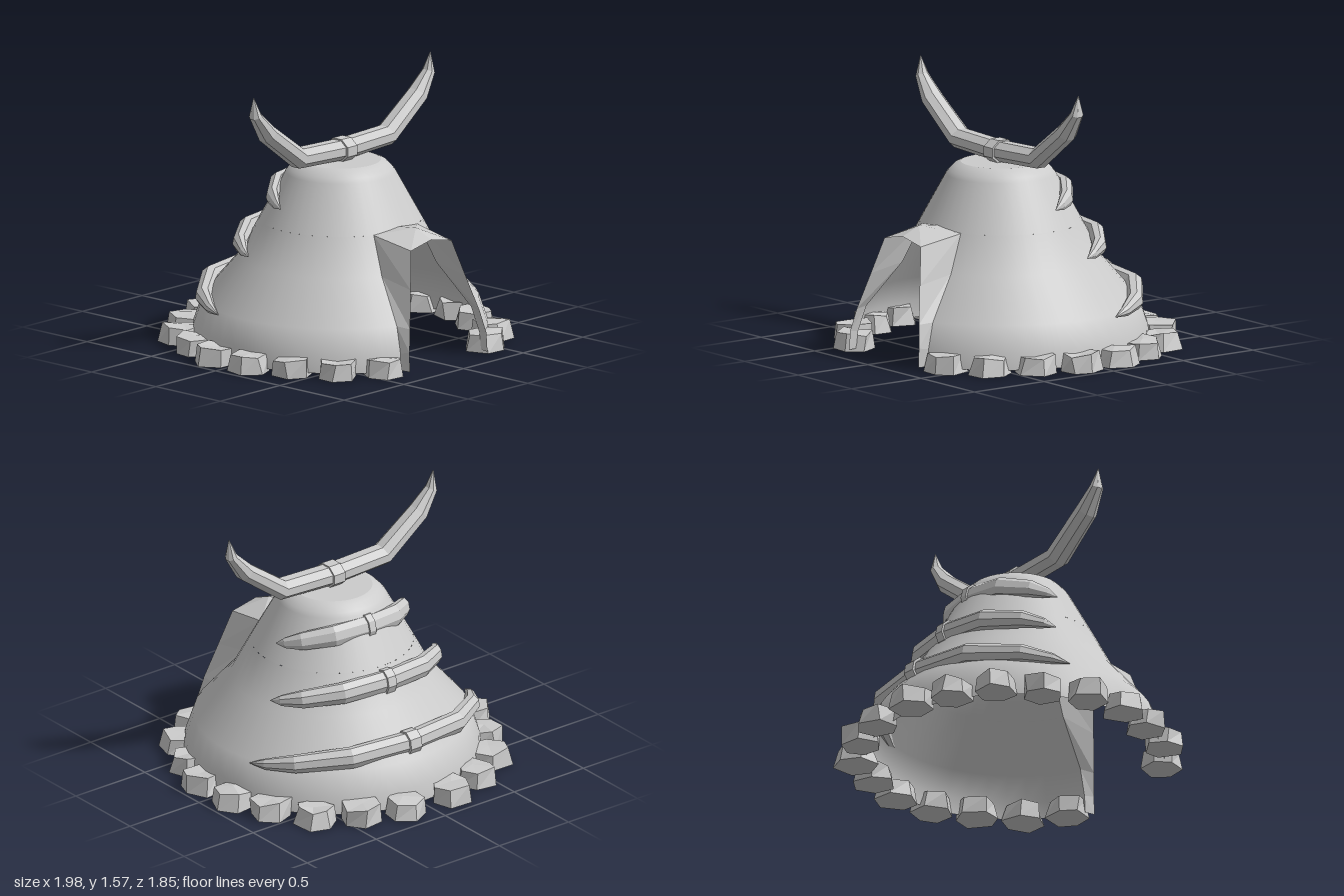
import * as THREE from 'three';

const smooth = new THREE.MeshStandardMaterial({ color: 0xcccccc, side: THREE.DoubleSide });
const faceted = new THREE.MeshStandardMaterial({ color: 0xcccccc, flatShading: true });
const facetedThin = new THREE.MeshStandardMaterial({ color: 0xcccccc, flatShading: true, side: THREE.DoubleSide });

const TENT_Z = 0.045;      // tent axis
const DOOR = 0.405;        // half angle of the door gap
const LOWER = [[0.85, 0.02], [0.84, 0.12], [0.79, 0.267], [0.58, 0.51], [0.465, 0.727]];
const UPPER = [[0.465, 0.727], [0.315, 1.0], [0.295, 1.025], [0.265, 1.055], [0.23, 1.07]];

function mesh(name, geometry, material) {
  const m = new THREE.Mesh(geometry, material);
  m.name = name;
  return m;
}

function lathe(profile, start, length) {
  return new THREE.LatheGeometry(profile.map(p => new THREE.Vector2(...p)), 40, start, length);
}

function indexed(points, index) {
  const g = new THREE.BufferGeometry();
  g.setAttribute('position', new THREE.Float32BufferAttribute(points.flat(), 3));
  g.setIndex(index);
  g.computeVertexNormals();
  return g;
}

// Tent shell: lower part is open at the door, upper part goes all round
function makeTent() {
  const tent = new THREE.Group();
  tent.name = 'tent';
  tent.position.z = TENT_Z;
  const cap = mesh('tentTop', new THREE.CircleGeometry(0.23, 40), smooth);
  cap.rotation.x = -Math.PI / 2;
  cap.position.y = 1.07;
  tent.add(
    mesh('lowerWall', lathe(LOWER, DOOR, 2 * Math.PI - 2 * DOOR), smooth),
    mesh('upperWall', lathe(UPPER, 0, 2 * Math.PI), smooth),
    cap
  );
  return tent;
}

// Door hood: two side walls from the shell's cut edge and a low ridged roof
function makeDoorHood() {
  const hood = new THREE.Group();
  hood.name = 'doorHood';
  const front = [[0.325, 0.02, 0.885], [0.322, 0.13, 0.88], [0.292, 0.26, 0.856], [0.23, 0.47, 0.803], [0.17, 0.68, 0.75]];
  for (const s of [1, -1]) {
    const points = [], index = [];
    LOWER.forEach(([r, y], i) => {
      points.push([s * r * Math.sin(DOOR), y, TENT_Z + r * Math.cos(DOOR)]);
      points.push([s * front[i][0], front[i][1], front[i][2]]);
      if (i) {
        const a = 2 * i - 2;
        index.push(...(s > 0 ? [a, a + 2, a + 1, a + 1, a + 2, a + 3] : [a, a + 1, a + 2, a + 1, a + 3, a + 2]));
      }
    });
    hood.add(mesh(s > 0 ? 'leftDoorWall' : 'rightDoorWall', indexed(points, index), facetedThin));
    const roof = [[s * 0.17, 0.68, 0.75], [s * 0.184, 0.727, 0.47], [0, 0.745, 0.46], [0, 0.765, 0.63], [0, 0.715, 0.75]];
    const order = s > 0 ? [0, 1, 3, 1, 2, 3, 0, 3, 4] : [0, 3, 1, 1, 3, 2, 0, 4, 3];
    hood.add(mesh(s > 0 ? 'leftDoorRoof' : 'rightDoorRoof', indexed(roof, order), facetedThin));
  }
  return hood;
}

// Eight-sided curved horn in the XY plane; half = [x, y, thickness] from middle to tip
function hornGeometry(half, a, b) {
  const path = [...half.slice(1).reverse().map(([x, y, t]) => [-x, y, t]), ...half];
  const points = [], index = [], n = 8;
  path.forEach(([x, y, t], i) => {
    const p = path[Math.max(i - 1, 0)], q = path[Math.min(i + 1, path.length - 1)];
    const len = Math.hypot(q[0] - p[0], q[1] - p[1]);
    const nx = -(q[1] - p[1]) / len, ny = (q[0] - p[0]) / len;
    for (let k = 0; k < n; k++) {
      const w = (k + 0.5) / n * 2 * Math.PI;
      const u = Math.cos(w) * a * t, v = Math.sin(w) * b * t;
      points.push([x + nx * u, y + ny * u, v]);
      if (i) {
        const c = i * n + k, d = i * n + (k + 1) % n;
        index.push(c - n, d - n, c, d - n, d, c);
      }
    }
  });
  return indexed(points, index);
}

// Horn with a strap round its middle
function makeHorn(name, half, a, b, strapWidth) {
  const horn = new THREE.Group();
  horn.name = name;
  const strap = new THREE.CylinderGeometry(1, 1, strapWidth, 8, 1, false, Math.PI / 8);
  strap.rotateZ(Math.PI / 2);
  strap.scale(1, a * 1.17, b * 1.17);
  horn.add(mesh('horn', hornGeometry(half, a, b), facetedThin), mesh('strap', strap, faceted));
  return horn;
}

// Rough six-sided stone, shaped by a small repeatable hash
function stoneGeometry(seed) {
  const g = new THREE.CylinderGeometry(0.108, 0.122, 0.1, 6, 1, false, 0.2 * Math.sin(seed * 5));
  const p = g.attributes.position;
  const noise = (x, y, z, k) => {
    const s = Math.sin(Math.round(x * 100) * 12.9 + Math.round(y * 100) * 3.7 + Math.round(z * 100) * 78.2 + seed * 31 + k * 17) * 4375.5;
    return s - Math.floor(s) - 0.5;
  };
  for (let i = 0; i < p.count; i++) {
    const x = p.getX(i), y = p.getY(i), z = p.getZ(i);
    const top = y > 0;
    p.setXYZ(i, x + 0.03 * noise(x, y, z, 1), y + (top ? 0.05 + 0.025 * noise(x, y, z, 2) : 0.05), z + 0.03 * noise(x, y, z, 3));
  }
  return g;
}

export function createModel() {
  const model = new THREE.Group();
  model.name = 'hornedTent';
  model.add(makeTent(), makeDoorHood());

  // Large horns on the tent top
  const top = makeHorn('topHorns', [
    [0, 0, 1], [0.37, 0.015, 1], [0.63, 0.205, 0.9], [0.725, 0.325, 0.55], [0.74, 0.435, 0.03]
  ], 0.062, 0.076, 0.08);
  top.position.set(0, 1.13, 0.055);
  model.add(top);

  // Three tilted horns wrapped round the back: half width, reach, tilt, y, z, thickness
  const ribs = [
    [0.78, 0.5, 0.18, 0.345, -0.675, 0.056],
    [0.585, 0.34, 0.23, 0.65, -0.46, 0.05],
    [0.447, 0.29, 0.29, 0.93, -0.285, 0.044]
  ];
  ribs.forEach(([w, reach, tilt, y, z, a], i) => {
    const half = [[0, 0, 1], [0.49, 0.12, 1], [0.82, 0.5, 0.85], [0.95, 0.8, 0.5], [1, 1, 0.03]]
      .map(([u, v, t]) => [u * w, v * reach, t]);
    const rib = makeHorn('backHorn' + (i + 1), half, a, 0.064, 0.1 * w);
    rib.position.set(0, y, z);
    rib.rotation.x = Math.PI / 2 + tilt;
    model.add(rib);
  });

  // Ring of stones, mirrored, open at the door
  const stones = new THREE.Group();
  stones.name = 'stoneRing';
  for (let i = 0; i < 9; i++) {
    const angle = THREE.MathUtils.degToRad(29 + 17.5 * i);
    const r = 0.872 + 0.015 * Math.sin(i * 2.3);
    for (const s of [1, -1]) {
      const stone = mesh('stone', stoneGeometry(i + (s > 0 ? 1 : 20)), faceted);
      stone.position.set(s * r * Math.sin(angle), 0, 0.01 + r * Math.cos(angle));
      stone.rotation.y = s * angle;
      stones.add(stone);
    }
  }
  model.add(stones);
  return model;
}
